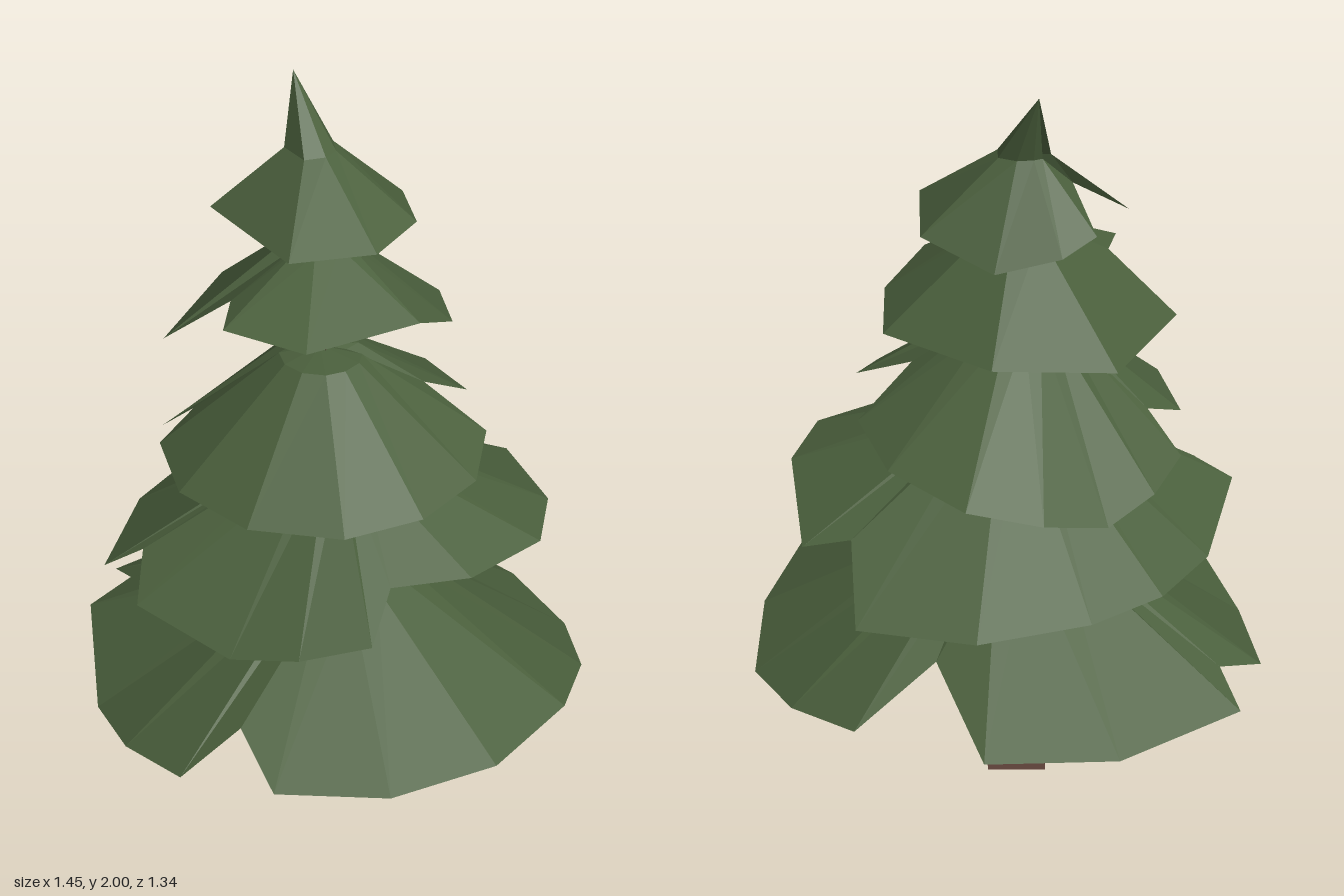
import * as THREE from 'three';

const foliage = new THREE.MeshStandardMaterial({ color: 0x4a5f3c, side: THREE.DoubleSide, flatShading: true });
foliage.name = 'foliage green';
const bark = new THREE.MeshStandardMaterial({ color: 0x5f4138, flatShading: true });
bark.name = 'bark brown';

// Mesh from a list of triangles, each made of three [x, y, z] corners
function facetMesh(name, triangles, material) {
  const geometry = new THREE.BufferGeometry();
  geometry.setAttribute('position', new THREE.Float32BufferAttribute(triangles.flat(2), 3));
  geometry.computeVertexNormals();
  const mesh = new THREE.Mesh(geometry, material);
  mesh.name = name;
  return mesh;
}

// Rounds a rim: spans wider than maxSpan degrees are split along an arc about the hub
function roundRim(points, hub, maxSpan) {
  const polar = points.map(([x, y, z]) => ({
    angle: Math.atan2(z - hub[2], x - hub[0]),
    radius: Math.hypot(x - hub[0], z - hub[2]),
    y,
  }));
  return polar.flatMap((a, i) => {
    const b = polar[(i + 1) % polar.length];
    const turn = Math.atan2(Math.sin(b.angle - a.angle), Math.cos(b.angle - a.angle));
    const steps = Math.ceil(Math.abs(THREE.MathUtils.radToDeg(turn)) / maxSpan);
    return Array.from({ length: steps }, (_, k) => {
      const t = k / steps;
      const angle = a.angle + turn * t;
      const radius = THREE.MathUtils.lerp(a.radius, b.radius, t);
      const y = THREE.MathUtils.lerp(a.y, b.y, t);
      return [hub[0] + radius * Math.cos(angle), y, hub[2] + radius * Math.sin(angle)];
    });
  });
}

// Drooping skirt of boughs: crown point, small shoulder ring, ragged rim.
// The rim runs clockwise seen from above; its inward points are gaps between boughs.
function branchTier(name, { hub, tip = hub, inset, drop, maxSpan }, points) {
  const rim = roundRim(points, hub, maxSpan);
  const shoulder = rim.map(([x, , z]) => [
    hub[0] + (x - hub[0]) * inset,
    hub[1] - drop,
    hub[2] + (z - hub[2]) * inset,
  ]);
  const triangles = rim.flatMap((a, i) => {
    const j = (i + 1) % rim.length;
    return [
      [tip, shoulder[j], shoulder[i]],
      [shoulder[i], shoulder[j], rim[j]],
      [shoulder[i], rim[j], a],
    ];
  });
  return facetMesh(name, triangles, foliage);
}

// Three-sided leaning trunk lofted through [height, corners] sections
function trunk() {
  const sections = [
    [0, [[-0.05, 0.09], [-0.05, -0.24], [-0.19, -0.16]]],
    [0.75, [[0.10, 0.06], [0.09, -0.03], [-0.03, 0]]],
    [1.08, [[0.05, 0.04], [0.04, -0.06], [-0.04, -0.03]]],
    [1.4, [[-0.02, -0.03], [-0.03, -0.08], [-0.08, -0.06]]],
    [1.8, [[-0.11, -0.12], [-0.11, -0.14], [-0.13, -0.13]]],
  ].map(([y, corners]) => corners.map(([x, z]) => [x, y, z]));
  const triangles = [[...sections[0]].reverse()];
  for (let s = 0; s < sections.length - 1; s++) {
    const low = sections[s], high = sections[s + 1];
    for (let i = 0; i < 3; i++) {
      const j = (i + 1) % 3;
      triangles.push([low[i], low[j], high[j]], [low[i], high[j], high[i]]);
    }
  }
  triangles.push(sections[sections.length - 1]);
  return facetMesh('trunk', triangles, bark);
}

export function createModel() {
  const tree = new THREE.Group();
  tree.name = 'pineTree';
  tree.add(trunk());

  tree.add(branchTier('bottomBranches', { hub: [0.03, 0.71, -0.02], inset: 0.25, drop: 0.035, maxSpan: 36 }, [
    [0.72, 0.40, 0], [0.15, 0.40, 0.64], [0, 0.48, 0.53], [-0.11, 0.38, 0.67],
    [-0.50, 0.29, 0.44], [-0.70, 0.36, 0.13], [-0.63, 0.40, 0.01], [-0.73, 0.34, -0.07],
    [-0.24, 0.32, -0.58], [0, 0.46, -0.42], [0.12, 0.33, -0.64], [0.56, 0.27, -0.48],
  ]));

  tree.add(branchTier('lowerBranches', { hub: [0.01, 1.08, -0.02], inset: 0.2, drop: 0.025, maxSpan: 38 }, [
    [0.59, 0.87, -0.08], [0.31, 0.87, 0.27], [0.33, 0.80, 0.43], [-0.02, 0.72, 0.54],
    [-0.33, 0.74, 0.47], [-0.38, 0.82, 0.34], [-0.48, 0.76, 0.38], [-0.57, 0.72, 0.03],
    [-0.44, 0.70, -0.38], [0.08, 0.68, -0.67], [0.20, 0.82, -0.50], [0.32, 0.79, -0.55],
    [0.54, 0.86, -0.28],
  ]));

  tree.add(branchTier('middleBranches', { hub: [-0.03, 1.345, -0.03], inset: 0.25, drop: 0.02, maxSpan: 38 }, [
    [0.43, 1.07, 0], [0.22, 1.06, 0.36], [-0.41, 1.05, 0.17], [-0.37, 1.10, 0.05],
    [-0.48, 1.00, 0.03], [-0.43, 0.93, -0.28], [-0.17, 1.03, -0.54], [0.26, 1.09, -0.36],
    [0.20, 1.20, -0.19], [0.39, 1.11, -0.17],
  ]));

  tree.add(branchTier('upperBranches', { hub: [-0.07, 1.625, -0.10], inset: 0.22, drop: 0.015, maxSpan: 90 }, [
    [0.27, 1.40, -0.20], [0.24, 1.47, -0.05], [0.05, 1.48, 0.22], [-0.18, 1.49, 0.22],
    [-0.22, 1.50, 0.10], [-0.41, 1.35, 0.12], [-0.43, 1.35, -0.25], [-0.17, 1.36, -0.41],
    [0.16, 1.37, -0.38],
  ]));

  // Top tier ends in a bent spike
  const crown = { hub: [-0.13, 1.86, -0.18], tip: [-0.20, 2.0, -0.235], inset: 0.25, drop: 0.03, maxSpan: 90 };
  tree.add(branchTier('topBranches', crown, [
    [0.17, 1.68, -0.18], [0.14, 1.67, 0], [-0.03, 1.68, 0.15], [-0.34, 1.68, -0.03],
    [-0.22, 1.75, -0.10], [-0.33, 1.66, -0.18], [-0.28, 1.62, -0.26], [-0.15, 1.59, -0.36],
    [0.05, 1.65, -0.37],
  ]));
  return tree;
}
